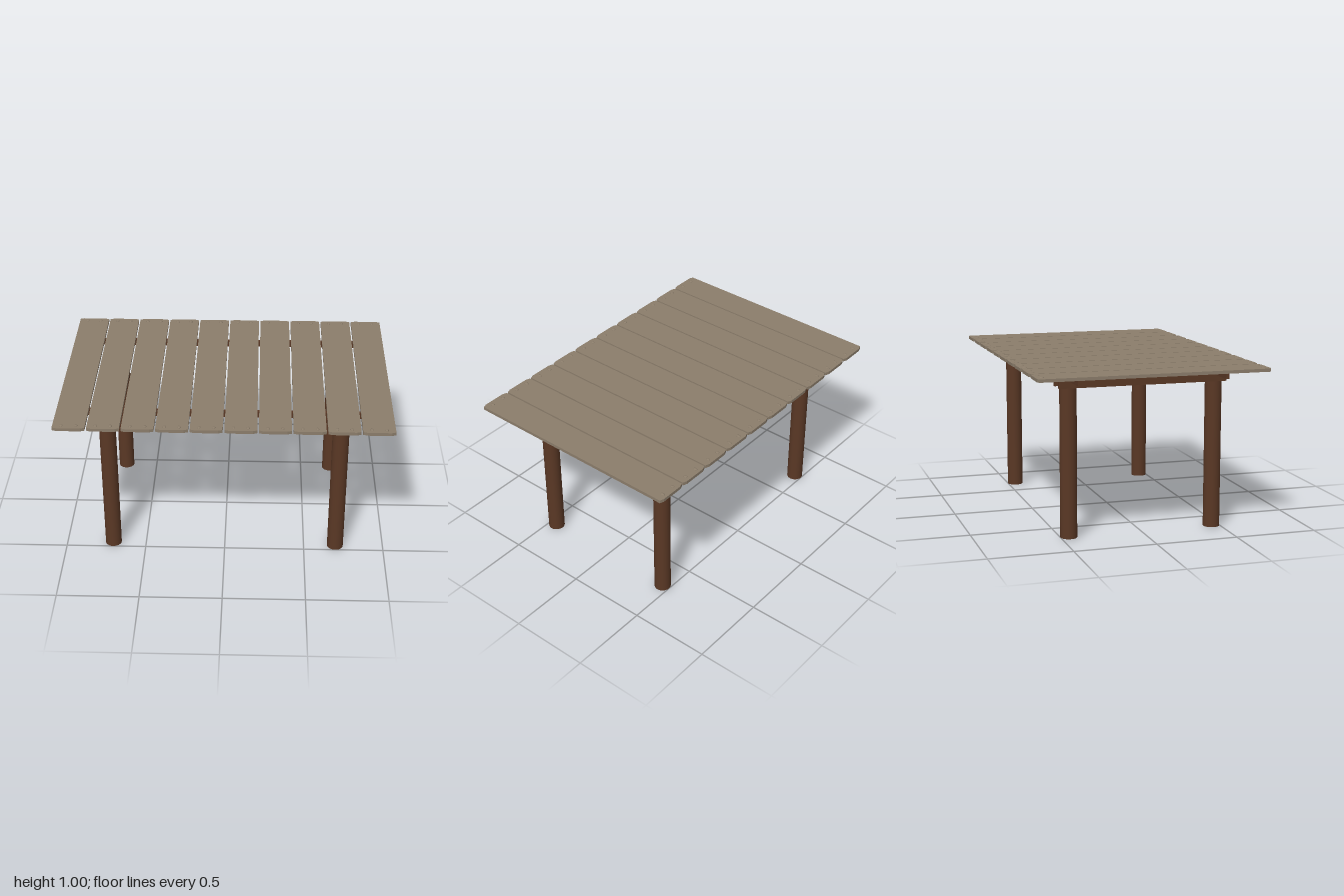
import * as THREE from 'three';

export function createModel() {
  const model = new THREE.Group();
  model.name = 'plankTable';

  const plankWood = new THREE.MeshStandardMaterial({ color: 0x8b7d6b });
  plankWood.name = 'weatheredPlankWood';
  const frameWood = new THREE.MeshStandardMaterial({ color: 0x5a3825 });
  frameWood.name = 'darkFrameWood';

  const add = (name, geometry, material, x, y, z, parent = model) => {
    const mesh = new THREE.Mesh(geometry, material);
    mesh.name = name;
    mesh.position.set(x, y, z);
    parent.add(mesh);
    return mesh;
  };

  // Plank outline with small cut corners at both ends
  const count = 10, pitch = 0.201, w = 0.191 / 2, d = 0.7, cutX = 0.025, cutZ = 0.009;
  const outline = new THREE.Shape([
    [-w, -d + cutZ], [-w + cutX, -d], [w - cutX, -d], [w, -d + cutZ],
    [w, d - cutZ], [w - cutX, d], [-w + cutX, d], [-w, d - cutZ],
  ].map(([x, z]) => new THREE.Vector2(x, z)));
  const thickness = 0.019;
  const plankGeo = new THREE.ExtrudeGeometry(outline, { depth: thickness, bevelEnabled: false });
  plankGeo.rotateX(-Math.PI / 2);

  // Low oval peg heads, two at each end of every plank
  const pegGeo = new THREE.SphereGeometry(1, 12, 6, 0, Math.PI * 2, 0, Math.PI / 2);
  pegGeo.scale(0.01, 0.005, 0.014);

  const top = new THREE.Group();
  top.name = 'tableTop';
  model.add(top);
  for (let i = 0; i < count; i++) {
    const x = (i - (count - 1) / 2) * pitch;
    add('plank', plankGeo, plankWood, x, 0.98, 0, top);
    for (const sx of [-1, 1]) {
      for (const sz of [-1, 1]) {
        add('pegHead', pegGeo, plankWood, x + sx * 0.043, 0.98 + thickness, sz * 0.667, top);
      }
    }
  }

  // Round legs
  const legHeight = 0.981;
  const legGeo = new THREE.CylinderGeometry(0.0505, 0.0505, legHeight, 24);
  for (const x of [-0.707, 0.699]) {
    for (const z of [-0.45, 0.45]) add('leg', legGeo, frameWood, x, legHeight / 2, z);
  }

  // Paired cross beams clasping the legs at each end
  const crossGeo = new THREE.BoxGeometry(0.021, 0.041, 1.03);
  for (const x of [-0.706, 0.703]) {
    for (const s of [-1, 1]) add('crossBeam', crossGeo, frameWood, x + s * 0.051, 0.92, -0.004);
  }

  // Long beams carrying the planks
  const longGeo = new THREE.BoxGeometry(1.91, 0.04, 0.021);
  for (const z of [-0.448, 0.443]) add('longBeam', longGeo, frameWood, 0.002, 0.961, z);

  return model;
}
